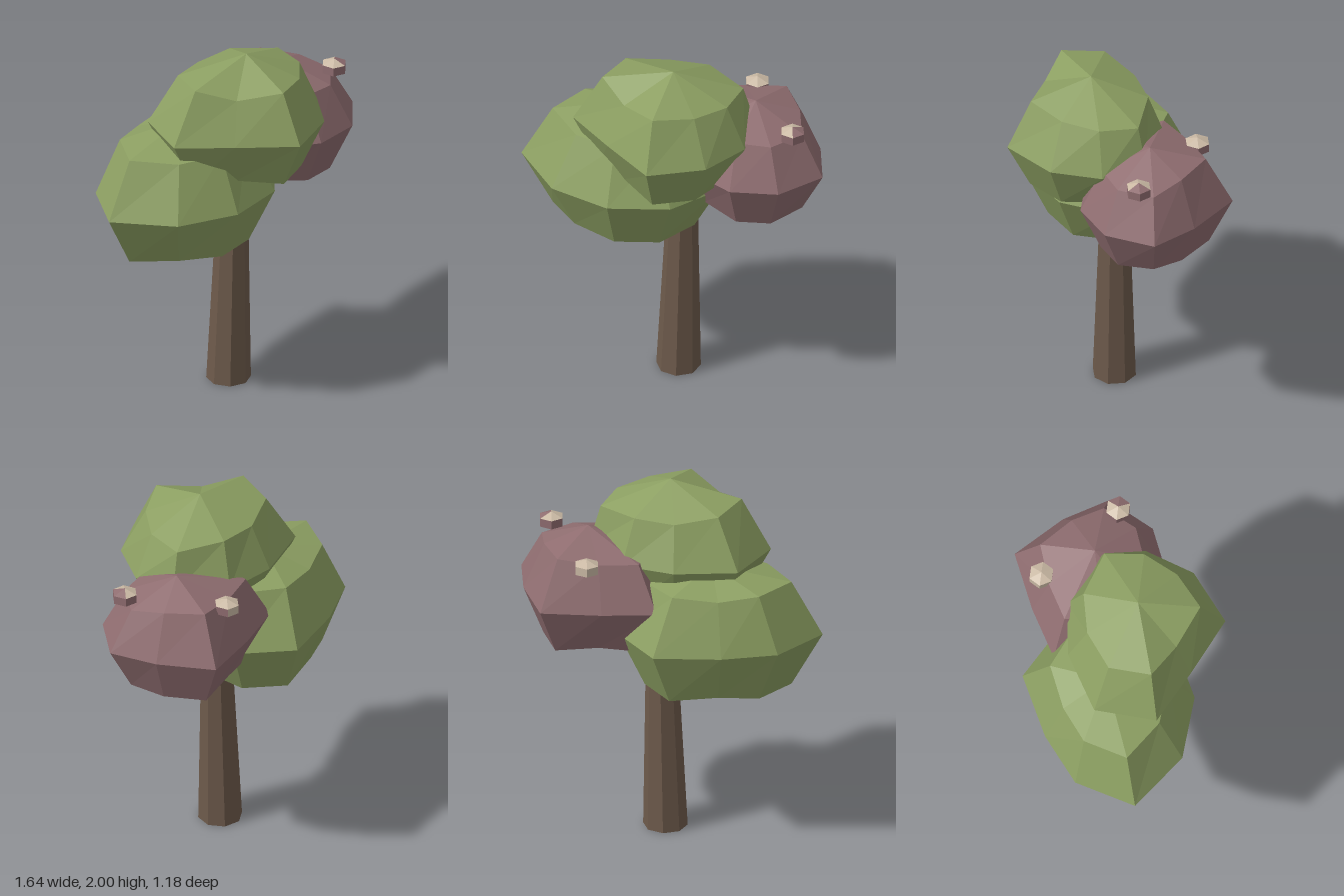
import * as THREE from 'three';

const mat = (name, color) => {
  const m = new THREE.MeshStandardMaterial({ color, flatShading: true });
  m.name = name;
  return m;
};

// Skin a stack of closed rings (bottom to top); pick(band, side) gives a material index.
function skin(rings, pick) {
  const pos = [], geo = new THREE.BufferGeometry();
  const n = rings[0].length;
  for (let r = 0; r < rings.length - 1; r++) {
    for (let i = 0; i < n; i++) {
      const j = (i + 1) % n, a = rings[r], b = rings[r + 1];
      const start = pos.length / 3;
      if (r > 0) pos.push(...a[i], ...b[i], ...a[j]);
      if (r < rings.length - 2 || r === 0) pos.push(...a[j], ...b[i], ...b[j]);
      if (pick) geo.addGroup(start, pos.length / 3 - start, pick(r, i));
    }
  }
  geo.setAttribute('position', new THREE.Float32BufferAttribute(pos, 3));
  geo.computeVertexNormals();
  return geo;
}

// Leafy clump: outline rows are [x, z, upper ring scale, upper ring height] at the widest level.
function clump({ outline, centre: [cx, cz], mid, low, bottom, top, lowScale }) {
  const ring = (f) => outline.map(f);
  const toward = (x, z, k) => [cx + (x - cx) * k, cz + (z - cz) * k];
  return skin([
    ring(() => [cx, bottom, cz]),
    ring(([x, z], i) => {
      const [px, pz] = toward(x, z, lowScale);
      return [px, low + (i % 3 === 1 ? 0.025 : 0), pz];
    }),
    ring(([x, z]) => [x, mid, z]),
    ring(([x, z, k, y]) => {
      const [px, pz] = toward(x, z, k);
      return [px, y, pz];
    }),
    ring(() => [top[0], top[1], top[2]]),
  ]);
}

// Six-sided bud with a blunt point above and below.
function bud(pick) {
  const level = (radius, y) => Array.from({ length: 6 }, (_, i) => {
    const a = (i * Math.PI) / 3;
    return [radius * Math.cos(a), y, radius * Math.sin(a)];
  });
  return skin([level(0, -0.05), level(0.069, -0.024), level(0.069, 0.024), level(0, 0.05)], pick);
}

export function createModel() {
  const tree = new THREE.Group();
  tree.name = 'tree';
  const bark = mat('bark brown', 0x6d5a4b);
  const leaf = mat('leaf green', 0x8c9f62);
  const blossom = mat('blossom pink', 0x8f6d70);
  const cream = mat('bud cream', 0xcbbaa5);

  const add = (name, geometry, material) => {
    const mesh = new THREE.Mesh(geometry, material);
    mesh.name = name;
    tree.add(mesh);
    return mesh;
  };

  // Trunk: tapered octagon leaning slightly to one side
  const trunk = new THREE.CylinderGeometry(0.083, 0.12, 1.1, 8);
  trunk.rotateY(Math.PI / 8);
  trunk.translate(0, 0.55, 0);
  const p = trunk.attributes.position;
  for (let i = 0; i < p.count; i++) p.setX(i, p.getX(i) + 0.01 + 0.022 * p.getY(i));
  trunk.computeVertexNormals();
  add('trunk', trunk, bark);

  // Low green clump
  add('lowerFoliage', clump({
    centre: [-0.27, 0], mid: 1.235, low: 0.93, bottom: 0.85, lowScale: 0.72,
    top: [-0.27, 1.62, 0],
    outline: [
      [-0.735, -0.105, 0.72, 1.54], [-0.495, -0.30, 0.70, 1.52], [-0.17, -0.465, 0.67, 1.54],
      [0.13, -0.30, 0.72, 1.54], [0.27, 0.03, 0.70, 1.54], [0.13, 0.31, 0.70, 1.53],
      [-0.17, 0.465, 0.71, 1.54], [-0.52, 0.445, 0.70, 1.53], [-0.825, 0.23, 0.72, 1.54],
    ],
  }), leaf);

  // High green clump
  add('upperFoliage', clump({
    centre: [0.02, 0.14], mid: 1.63, low: 1.355, bottom: 1.3, lowScale: 0.72,
    top: [0.05, 2.0, 0.13],
    outline: [
      [-0.455, -0.04, 0.68, 1.90], [-0.16, -0.22, 0.73, 1.87], [0.13, -0.265, 0.77, 1.88],
      [0.41, -0.13, 0.86, 1.86], [0.48, 0.115, 0.77, 1.87], [0.39, 0.385, 0.70, 1.88],
      [0.14, 0.59, 0.71, 1.90], [-0.18, 0.445, 0.72, 1.86], [-0.47, 0.30, 0.69, 1.915],
    ],
  }), leaf);

  // Pink blossom clump
  add('blossomFoliage', clump({
    centre: [0.37, -0.16], mid: 1.41, low: 1.14, bottom: 1.05, lowScale: 0.71,
    top: [0.40, 1.76, -0.15],
    outline: [
      [-0.105, -0.305, 0.72, 1.66], [0.15, -0.455, 0.72, 1.66], [0.45, -0.59, 0.67, 1.68],
      [0.68, -0.36, 0.70, 1.67], [0.82, -0.13, 0.71, 1.64], [0.69, 0.125, 0.72, 1.64],
      [0.45, 0.23, 0.70, 1.65], [0.14, 0.16, 0.71, 1.65], [-0.05, -0.02, 0.71, 1.65],
    ],
  }), blossom);

  // Buds resting on the blossom: cream on top, pink below
  const backBud = add('backBud', bud((r, i) => (r === 2 || (r === 1 && i > 1 && i < 5) ? 1 : 0)), [blossom, cream]);
  backBud.position.set(0.26, 1.655, -0.42);
  const sideBud = add('sideBud', bud((r, i) => (r === 2 && i !== 0 && i !== 5 ? 1 : 0)), [blossom, cream]);
  sideBud.position.set(0.675, 1.685, -0.06);

  return tree;
}
